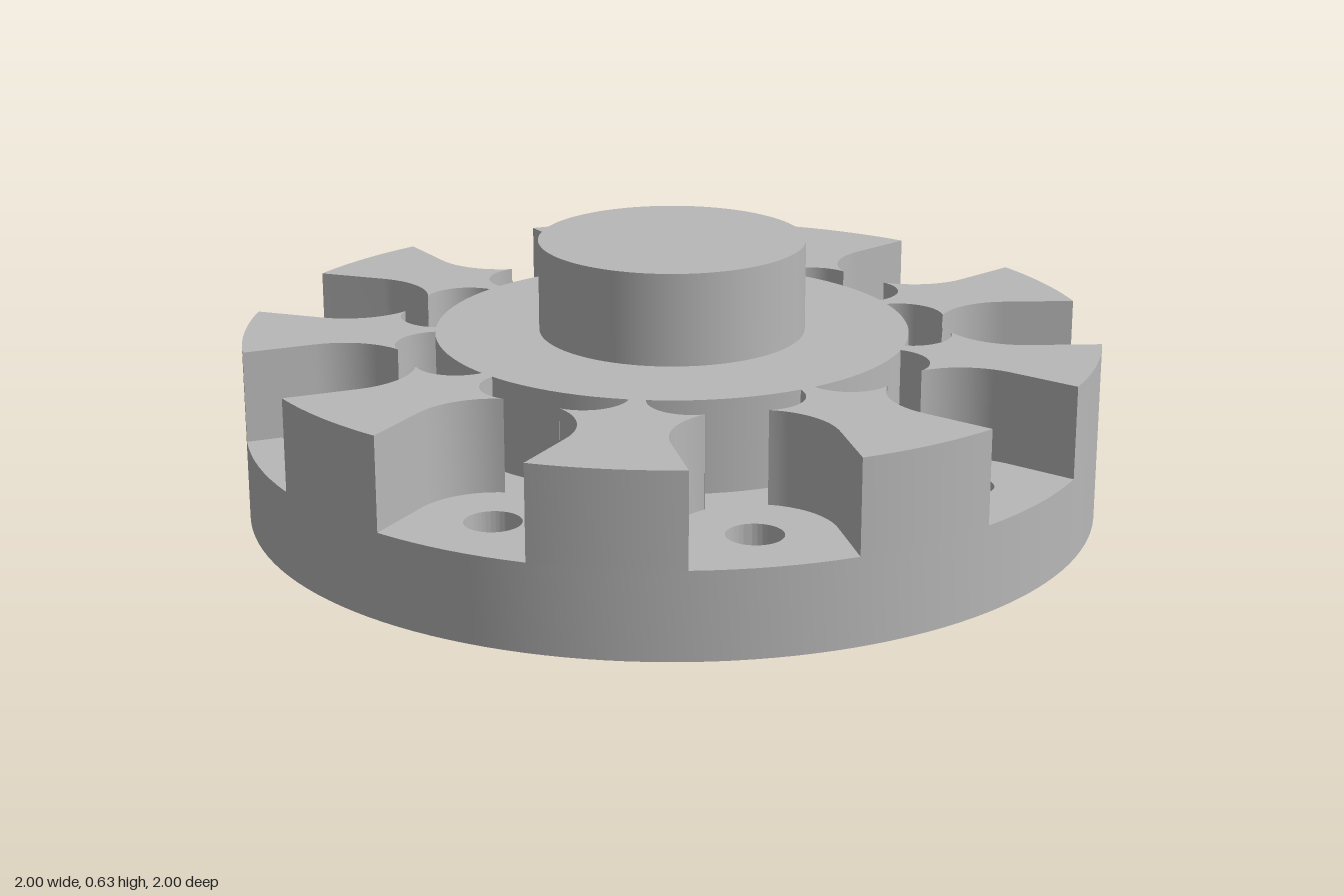
import * as THREE from 'three';
import { toCreasedNormals } from 'three/addons/utils/BufferGeometryUtils.js';

const COUNT = 9;
const STEP = (Math.PI * 2) / COUNT;
const BASE_TOP = 0.2, LUG_TOP = 0.415, BOSS_TOP = 0.63;
const HUB_RADIUS = 0.555, BOLT_CIRCLE = 0.815, SLOT_HALF = 0.18;

// Extrude a plan outline upwards from y0 to y1
function slab(shape, y0, y1) {
  const g = new THREE.ExtrudeGeometry(shape, { depth: y1 - y0, bevelEnabled: false, curveSegments: 72 });
  g.rotateX(-Math.PI / 2);
  g.translate(0, y0, 0);
  return toCreasedNormals(g, 0.45);
}

function drum(radius, y0, y1) {
  const g = new THREE.CylinderGeometry(radius, radius, y1 - y0, 96);
  g.translate(0, (y0 + y1) / 2, 0);
  return g;
}

// Base disc with small bolt holes under the slots and larger ones under the lugs
function baseShape() {
  const shape = new THREE.Shape();
  shape.absarc(0, 0, 1, 0, Math.PI * 2, false);
  for (let i = 0; i < COUNT * 2; i++) {
    const a = -Math.PI / 2 + (i * STEP) / 2;
    const hole = new THREE.Path();
    hole.absarc(BOLT_CIRCLE * Math.cos(a), BOLT_CIRCLE * Math.sin(a), i % 2 ? 0.09 : 0.063, 0, Math.PI * 2, true);
    shape.holes.push(hole);
  }
  return shape;
}

// One lug: rim arc, straight slot wall, round pocket, scallop, narrow neck at the hub
function lugShape() {
  const s = Math.sin(STEP / 2), c = Math.cos(STEP / 2);
  const side = [];
  // lat is measured from the slot centre line, rad along it
  const add = (lat, rad) => side.push(new THREE.Vector2(rad * s - lat * c, rad * c + lat * s));
  const rimHalf = STEP / 2 - Math.asin(SLOT_HALF);
  for (let i = 0; i <= 8; i++) {
    const a = (rimHalf * i) / 8;
    side.push(new THREE.Vector2(Math.sin(a), Math.cos(a)));
  }
  const pocketEnd = Math.acos(0.07 / SLOT_HALF);
  for (let i = 0; i <= 16; i++) {
    const a = (pocketEnd * i) / 16;
    add(SLOT_HALF * Math.cos(a), BOLT_CIRCLE - SLOT_HALF * Math.sin(a));
  }
  for (let i = 0; i <= 16; i++) {
    const a = THREE.MathUtils.degToRad(93 - (106 * i) / 16);
    add(0.075 + 0.1 * Math.cos(a), 0.55 + 0.1 * Math.sin(a));
  }
  const mirrored = side.slice(1).reverse().map((p) => new THREE.Vector2(-p.x, p.y));
  return new THREE.Shape([...side, ...mirrored]);
}

export function createModel() {
  const model = new THREE.Group();
  model.name = 'slottedFlange';
  const grey = new THREE.MeshStandardMaterial({ color: 0xb8b8b8 });
  grey.name = 'plain grey';

  const add = (name, geometry, parent = model) => {
    const mesh = new THREE.Mesh(geometry, grey);
    mesh.name = name;
    parent.add(mesh);
    return mesh;
  };

  add('baseDisc', slab(baseShape(), 0, BASE_TOP));
  add('hub', drum(HUB_RADIUS, BASE_TOP, LUG_TOP));
  add('centreBoss', drum(0.312, LUG_TOP, BOSS_TOP));

  // Ring of lugs
  const lugs = new THREE.Group();
  lugs.name = 'lugs';
  model.add(lugs);
  const lugGeometry = slab(lugShape(), BASE_TOP, LUG_TOP);
  for (let i = 0; i < COUNT; i++) add('lug', lugGeometry, lugs).rotation.y = i * STEP;

  return model;
}
